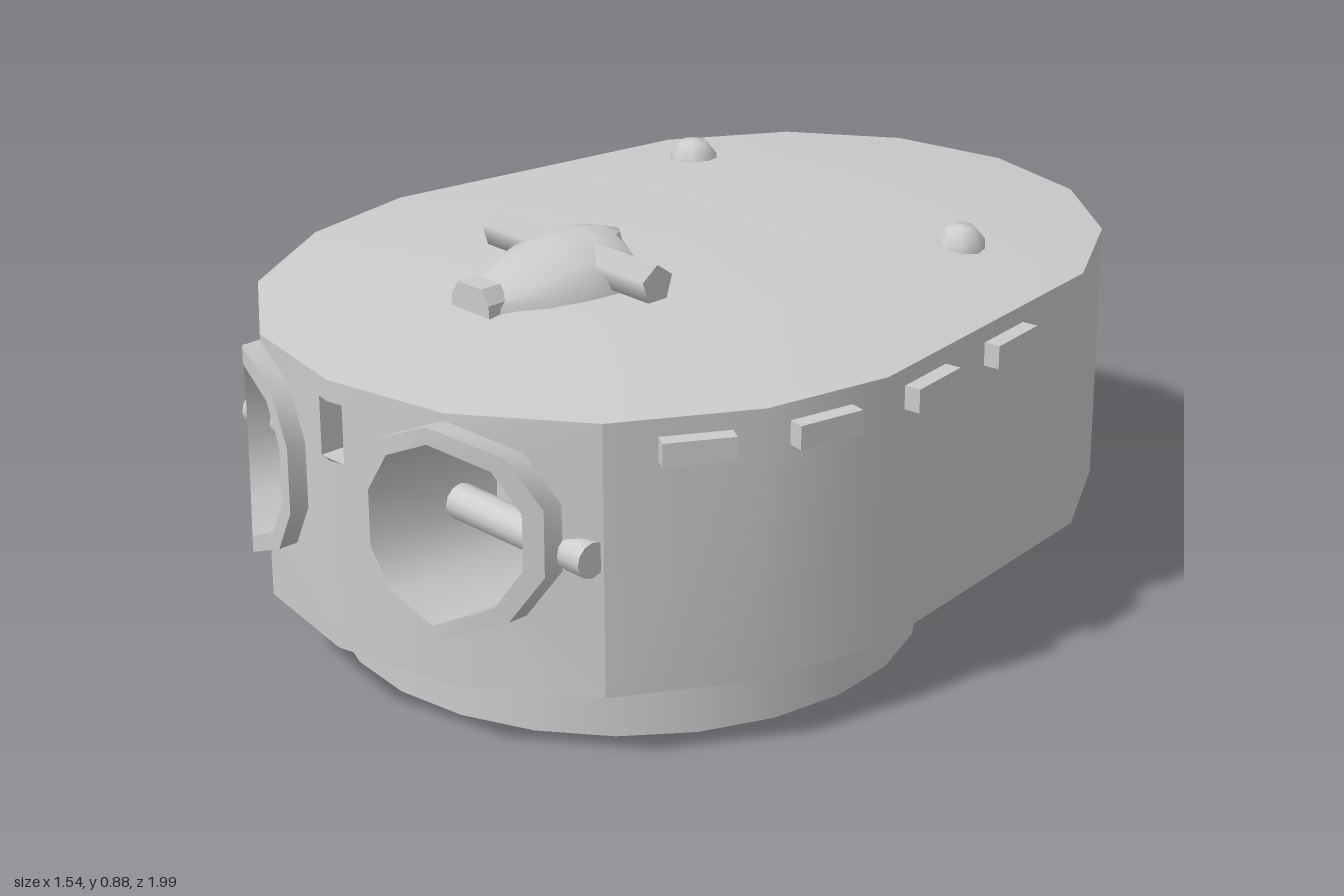
import * as THREE from 'three';
import { mergeGeometries, toCreasedNormals } from 'three/addons/utils/BufferGeometryUtils.js';

const FLOOR = 0.155, WALL_TOP = 0.73, ROOF_TOP = 0.78;
const PORT_X = 0.285, PORT_Y = 0.49;

// Half outline of the turret in plan, front to back: [x, z]
const half = [[0, 0.965], [PORT_X, 0.91], [0.53, 0.73], [0.69, 0.455], [0.742, 0.175],
  [0.63, -0.545], [0.48, -0.79], [0.26, -0.947], [0, -1]];
const mirrorBack = pts => pts.slice(0, -1).reverse().map(([x, z]) => [-x, z]);
const outline = [...half, ...mirrorBack(half).slice(0, -1)];

// Depth of the front wall at a given x
function wallZ(x) {
  const a = Math.abs(x);
  const i = a < PORT_X ? 0 : 1;
  const [x0, z0] = half[i], [x1, z1] = half[i + 1];
  return z0 + (z1 - z0) * (a - x0) / (x1 - x0);
}

// Skin a surface over successive cross-sections with equal point counts
function loft(rings, closed = true, crease = 0.75) {
  const n = rings[0].length, pos = rings.flat(2), index = [];
  for (let r = 0; r < rings.length - 1; r++) {
    for (let i = 0; i < (closed ? n : n - 1); i++) {
      const a = r * n + i, b = r * n + (i + 1) % n;
      index.push(a, b, b + n, a, b + n, a + n);
    }
  }
  const g = new THREE.BufferGeometry();
  g.setAttribute('position', new THREE.Float32BufferAttribute(pos, 3));
  g.setIndex(index);
  return toCreasedNormals(g, crease);
}

// Plan outline scaled about the middle, at height y
const planRing = (s, y) => outline.map(([x, z]) => [x * s, y, -0.02 + (z + 0.02) * s]);

// Ten-sided port outline, counter-clockwise from the front, starting at the top
const quarter = [[0, 0.225], [-0.122, 0.17], [-0.18, 0.07], [-0.18, -0.07], [-0.122, -0.17]];
const portPts = [...quarter, ...quarter.map(([x, y]) => [-x, -y])];
const portRing = (cx, sx, sy, zOf) =>
  portPts.map(([x, y]) => [cx + x * sx, PORT_Y + y * sy, zOf(cx + x * sx)]);

export function createModel() {
  const group = new THREE.Group();
  const mat = new THREE.MeshStandardMaterial({ color: 0xcccccc });
  const thin = new THREE.MeshStandardMaterial({ color: 0xcccccc, side: THREE.DoubleSide });
  const add = (name, geo, x = 0, y = 0, z = 0, m = mat) => {
    const mesh = new THREE.Mesh(geo, m);
    mesh.name = name;
    mesh.position.set(x, y, z);
    group.add(mesh);
    return mesh;
  };

  // Turret ring
  add('turretRing', new THREE.CylinderGeometry(0.63, 0.63, FLOOR, 24), 0, FLOOR / 2, 0.18);

  // Hull floor, side and rear wall, sloped roof
  add('hullFloor', loft([planRing(0, FLOOR), planRing(1, FLOOR)]));
  const side = [...half.slice(2), ...mirrorBack(half.slice(2))];
  add('sideWall', loft([FLOOR, WALL_TOP].map(y => side.map(([x, z]) => [x, y, z])), false));
  add('roof', loft([planRing(1, WALL_TOP), planRing(0.58, ROOF_TOP), planRing(0, ROOF_TOP)]));

  // Front wall: four panels, each notched for half a port and the sight slit
  const panels = [];
  for (const s of [1, -1]) {
    const notch = portPts.slice(0, 6).map(([x, y]) => [x * 0.9, PORT_Y + y * 0.9]).reverse();
    const inner = [[0, FLOOR], [PORT_X, FLOOR], ...notch.map(([x, y]) => [PORT_X + x, y]),
      [PORT_X, WALL_TOP], [0, WALL_TOP], [0, 0.685], [0.035, 0.685], [0.035, 0.56], [0, 0.56]];
    const outer = [[PORT_X, FLOOR], ...notch.map(([x, y]) => [PORT_X - x, y]),
      [PORT_X, WALL_TOP], [0.53, WALL_TOP], [0.53, FLOOR]];
    for (const pts of [inner, outer]) {
      const g = new THREE.ShapeGeometry(
        new THREE.Shape(pts.map(([x, y]) => new THREE.Vector2(s * x, y))));
      const p = g.attributes.position;
      for (let i = 0; i < p.count; i++) p.setZ(i, wallZ(p.getX(i)));
      panels.push(g);
    }
  }
  add('frontWall', toCreasedNormals(mergeGeometries(panels), 0.75), 0, 0, 0, thin);

  // Sight slit recess
  const slit = [[0.035, 0.685], [-0.035, 0.685], [-0.035, 0.56], [0.035, 0.56]];
  add('sightSlit', loft([
    slit.map(([x, y]) => [x, y, wallZ(x)]),
    slit.map(([x, y]) => [x, y, 0.9]),
    slit.map(() => [0, 0.62, 0.9]),
  ]));

  for (const s of [1, -1]) {
    const label = s > 0 ? 'left' : 'right';
    const cx = s * PORT_X;

    // Raised port frame that follows the wall, with its recess
    const rim = x => wallZ(x) + 0.045;
    const back = () => 0.66;
    add(label + 'Port', loft([
      portRing(cx, 1, 1, x => wallZ(x) - 0.02),
      portRing(cx, 1, 1, rim),
      portRing(cx, 0.81, 0.84, rim),
      portRing(cx, 0.81, 0.84, back),
      portRing(cx, 0, 0, back),
    ]));

    // Cross bar through the port
    add(label + 'PortBar', new THREE.CylinderGeometry(0.037, 0.037, 0.39, 12),
      s * 0.33, 0.455, 0.755).rotation.z = Math.PI / 2;

    // Vision blocks along the side: [z, index of the wall segment]
    for (const [z, i] of [[0.575, 3], [0.33, 4], [0.045, 5], [-0.24, 5]]) {
      const [x0, z0] = half[i - 1], [x1, z1] = half[i];
      const x = x0 + (x1 - x0) * (z - z0) / (z1 - z0);
      add(label + 'VisionBlock', new THREE.BoxGeometry(0.07, 0.05, 0.145), s * x, 0.668, z)
        .rotation.y = s * Math.atan2(x1 - x0, z1 - z0) + (s > 0 ? Math.PI : -Math.PI);
    }

    // Roof stud
    const stud = [[0.052, 0.75], [0.052, 0.782], [0.03, 0.81], [0, 0.815]];
    add(label + 'RoofStud', new THREE.LatheGeometry(
      stud.map(([r, y]) => new THREE.Vector2(r, y)), 8), s * 0.405, 0, -0.41);
  }

  // Teardrop sight hood: cross-sections [z, half width, height]
  const sections = [[0.2, 0, 0], [0.2, 0.02, 0.085], [0.25, 0.13, 0.1], [0.3, 0.148, 0.106],
    [0.4, 0.135, 0.098], [0.49, 0.11, 0.075], [0.57, 0.06, 0.05], [0.57, 0, 0]];
  add('sightHood', loft(sections.map(([z, w, h]) => Array.from({ length: 9 }, (_, k) => {
    const a = Math.PI * k / 8;
    return [w * Math.cos(a), 0.77 + h * Math.sin(a), z];
  })), false));

  // Five-sided cross tube through the hood
  const tube = new THREE.CylinderGeometry(0.042, 0.042, 0.49, 5);
  tube.rotateY(Math.PI / 2).rotateZ(Math.PI / 2);
  add('hoodTube', tube, 0, 0.824, 0.318);

  // Window block at the nose of the hood
  const win = [[-0.058, 0.765], [0.058, 0.765], [0.056, 0.8], [0.035, 0.83], [-0.035, 0.83], [-0.056, 0.8]];
  add('hoodWindow', new THREE.ExtrudeGeometry(
    new THREE.Shape(win.map(([x, y]) => new THREE.Vector2(x, y))),
    { depth: 0.05, bevelEnabled: false }), 0, 0, 0.55);

  return group;
}
